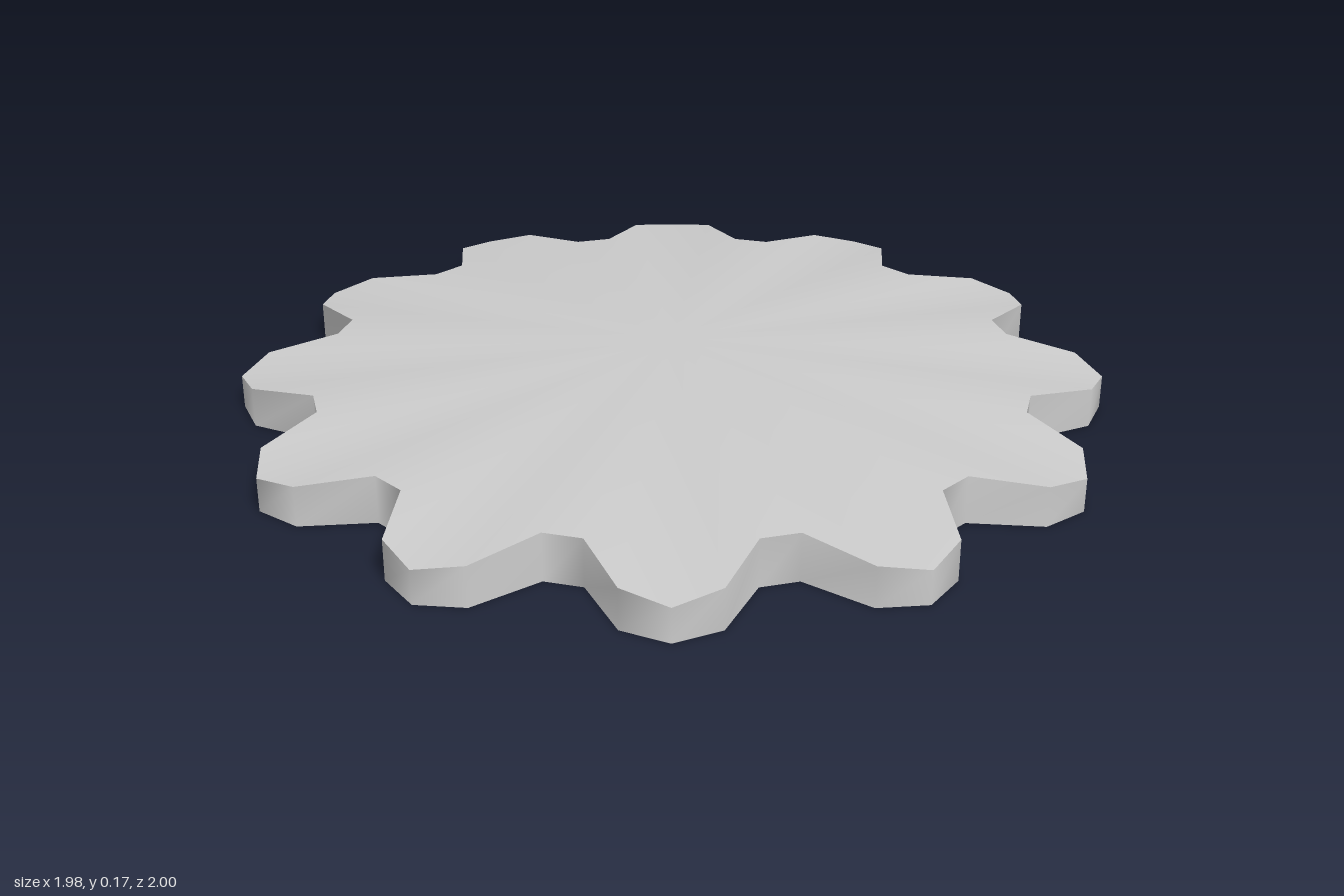
import * as THREE from 'three';

// One scallop, tip to tip: [radius, height of the rim]
const LOBE = [[1, 0.077], [0.96, 0.092], [0.82, 0.109], [0.82, 0.109], [0.96, 0.092]];
const LOBES = 12;
const COUNT = LOBES * LOBE.length;
const APEX = 0.172;

// Rim point i, or the point on the ground below it
function rimPoint(i, grounded) {
  const [r, y] = LOBE[i % LOBE.length];
  const a = (i / COUNT) * Math.PI * 2;
  return [Math.sin(a) * r * 0.99, grounded ? 0 : y, Math.cos(a) * r];
}

function makeMesh(name, positions, index, material) {
  const geometry = new THREE.BufferGeometry();
  geometry.setAttribute('position', new THREE.Float32BufferAttribute(positions, 3));
  geometry.setIndex(index);
  geometry.computeVertexNormals();
  const mesh = new THREE.Mesh(geometry, material);
  mesh.name = name;
  return mesh;
}

export function createModel() {
  const group = new THREE.Group();
  group.name = 'scallopedCap';
  const material = new THREE.MeshStandardMaterial({ color: 0xcccccc, side: THREE.DoubleSide });

  const top = [0, APEX, 0], topIndex = [];
  const wall = [], wallIndex = [];
  for (let i = 0; i < COUNT; i++) {
    const next = (i + 1) % COUNT;
    top.push(...rimPoint(i, false));
    topIndex.push(0, i + 1, next + 1);
    wall.push(...rimPoint(i, true), ...rimPoint(i, false));
    wallIndex.push(2 * i, 2 * next, 2 * next + 1, 2 * i, 2 * next + 1, 2 * i + 1);
  }

  // Shallow conical top and the upright scalloped skirt; the underside is open
  group.add(makeMesh('conicalTop', top, topIndex, material));
  group.add(makeMesh('scallopedSkirt', wall, wallIndex, material));
  return group;
}
